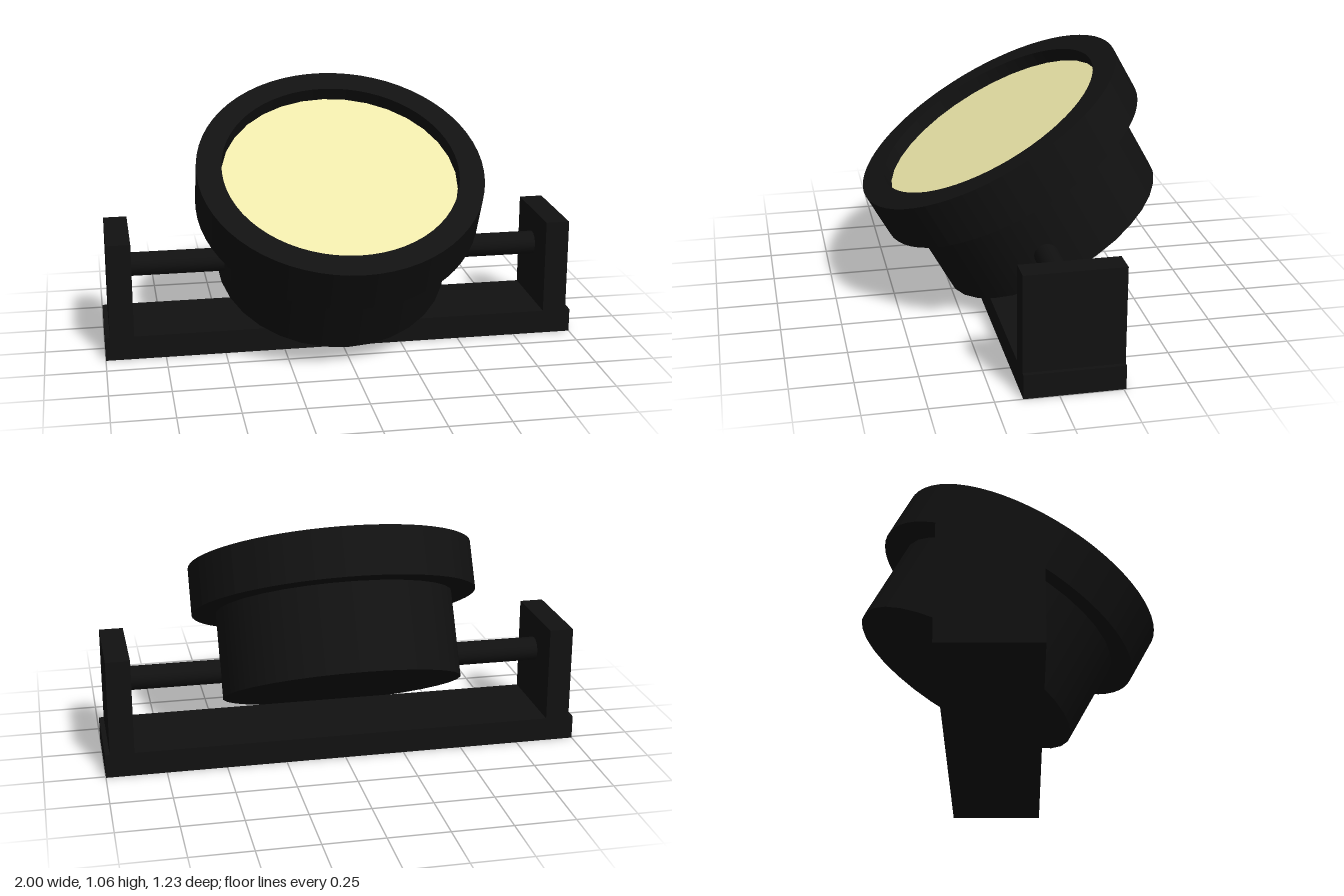
import * as THREE from 'three';

const SEGMENTS = 32;
const TILT = 0.504;
const AXIS_Z = -0.06;

export function createModel() {
  const model = new THREE.Group();
  model.name = 'floodlight';
  const black = new THREE.MeshStandardMaterial({ color: 0x111111 });
  const glow = new THREE.MeshStandardMaterial({ color: 0xeee8aa });

  const add = (parent, name, geometry, material, x, y, z) => {
    const mesh = new THREE.Mesh(geometry, material);
    mesh.name = name;
    mesh.position.set(x, y, z);
    parent.add(mesh);
    return mesh;
  };

  // Mounting bracket: base plate, two uprights and the pivot axle
  add(model, 'basePlate', new THREE.BoxGeometry(2, 0.1, 0.4), black, 0, 0.05, AXIS_Z);
  for (const side of [-1, 1]) {
    const name = side > 0 ? 'leftUpright' : 'rightUpright';
    add(model, name, new THREE.BoxGeometry(0.1, 0.4, 0.4), black, side * 0.93, 0.3, AXIS_Z);
  }
  const axle = add(model, 'axle', new THREE.CylinderGeometry(0.05, 0.05, 1.78, 16), black, 0, 0.35, AXIS_Z);
  axle.rotation.z = Math.PI / 2;

  // Lamp head, tipped forward
  const head = new THREE.Group();
  head.name = 'lampHead';
  head.position.set(0, 0.5, AXIS_Z);
  head.rotation.x = TILT;
  model.add(head);

  add(head, 'housing', new THREE.CylinderGeometry(0.5, 0.5, 0.49, SEGMENTS), black, 0, -0.005, 0);

  // Rim: a square-edged ring extruded along the lamp axis
  const ring = new THREE.Shape().absarc(0, 0, 0.6, 0, Math.PI * 2);
  ring.holes.push(new THREE.Path().absarc(0, 0, 0.495, 0, Math.PI * 2, true));
  const rimGeometry = new THREE.ExtrudeGeometry(ring, {
    depth: 0.2, bevelEnabled: false, curveSegments: SEGMENTS,
  }).rotateX(-Math.PI / 2);
  add(head, 'rim', rimGeometry, black, 0, 0.11, 0);

  // Lens, recessed inside the rim
  add(head, 'lens', new THREE.CylinderGeometry(0.495, 0.495, 0.02, SEGMENTS), glow, 0, 0.24, 0);

  return model;
}
